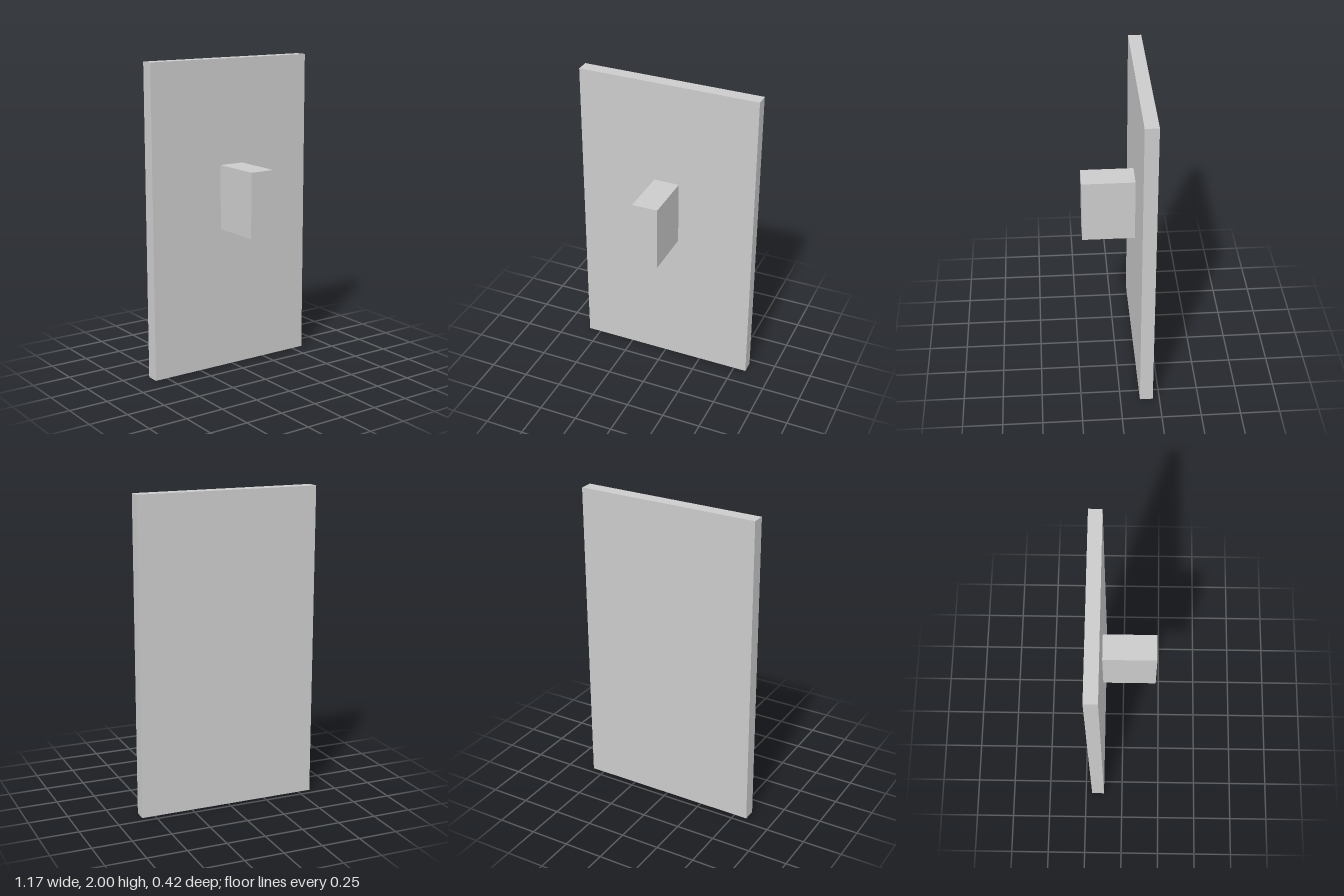
import * as THREE from 'three';

export function createModel() {
  const model = new THREE.Group();
  model.name = 'panelWithHandle';
  const material = new THREE.MeshStandardMaterial({ color: 0xcccccc, flatShading: true });

  // Box given by its lower and upper corners
  const addBox = (name, min, max) => {
    const size = max.map((v, i) => v - min[i]);
    const mesh = new THREE.Mesh(new THREE.BoxGeometry(...size), material);
    mesh.position.set(...max.map((v, i) => (v + min[i]) / 2));
    mesh.name = name;
    model.add(mesh);
  };

  // Tall flat panel at the back
  addBox('panel', [-0.583, 0, -0.208], [0.583, 2, -0.125]);
  // Block handle standing out from its front face
  addBox('handle', [-0.083, 0.917, -0.125], [0.083, 1.333, 0.208]);

  return model;
}
